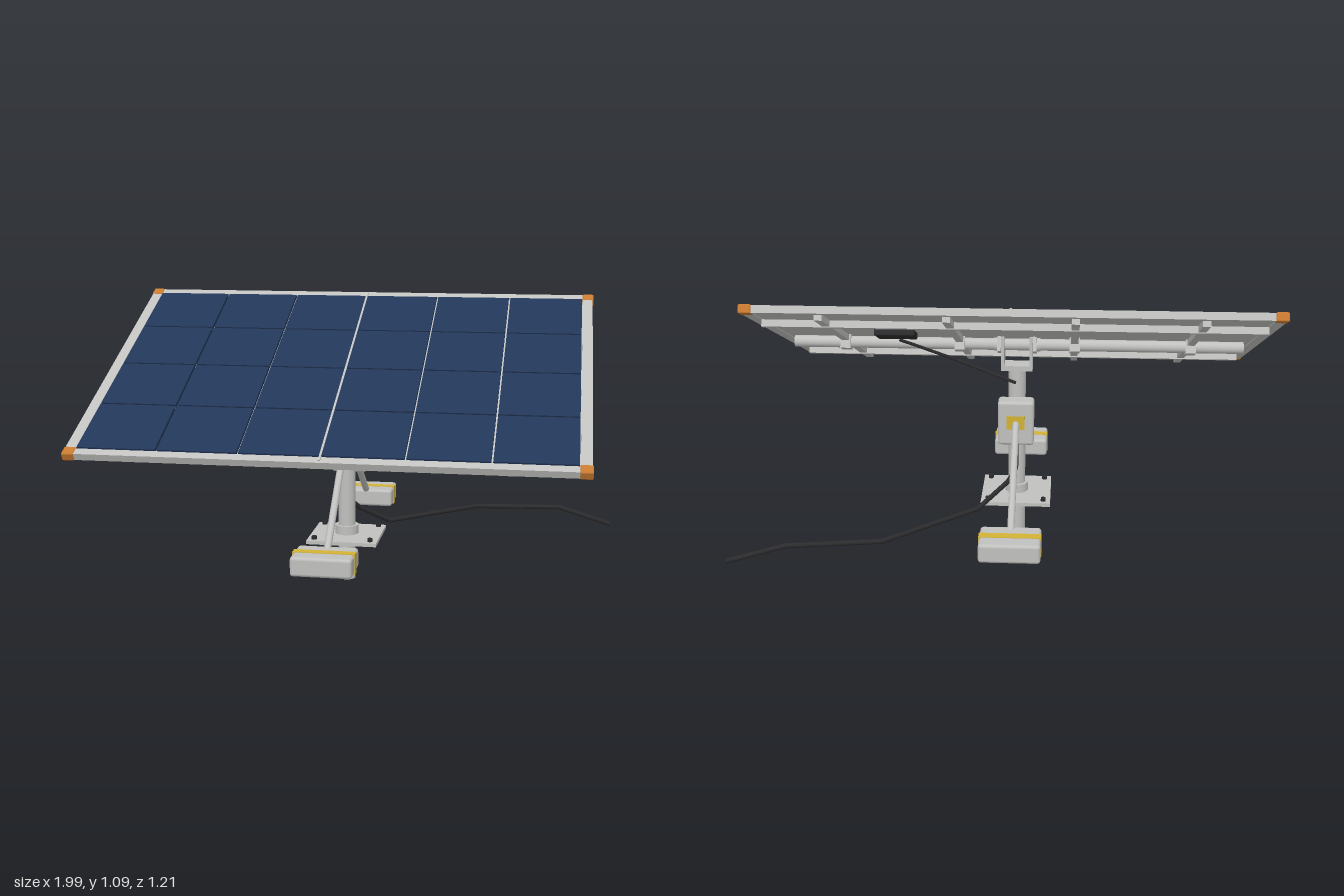
import * as THREE from 'three';
import { RoundedBoxGeometry } from 'three/addons/geometries/RoundedBoxGeometry.js';

const mat = (name, color) => {
  const m = new THREE.MeshStandardMaterial({ color });
  m.name = name;
  return m;
};

export function createModel() {
  const metal = mat('galvanised grey', 0xc0c0be);
  const navy = mat('cell navy', 0x223758);
  const orange = mat('corner orange', 0xc87a30);
  const yellow = mat('strap yellow', 0xd2b236);
  const black = mat('cable black', 0x2b2b2d);

  const model = new THREE.Group();
  model.name = 'solarPanelStand';
  const CX = -0.0575, PZ = 0.032; // pole axis

  const add = (parent, name, geo, material, x = 0, y = 0, z = 0) => {
    const mesh = new THREE.Mesh(geo, material);
    mesh.name = name;
    mesh.position.set(x, y, z);
    parent.add(mesh);
    return mesh;
  };
  const box = (p, name, m, w, h, d, x, y, z) =>
    add(p, name, new THREE.BoxGeometry(w, h, d), m, x, y, z);
  const cyl = (p, name, m, r, h, x, y, z, sides = 24) =>
    add(p, name, new THREE.CylinderGeometry(r, r, h, sides), m, x, y, z);
  const rounded = (p, name, m, w, h, d, r, x, y, z) =>
    add(p, name, new RoundedBoxGeometry(w, h, d, 2, r), m, x, y, z);

  // Straight round bar between two points
  const rod = (p, name, m, a, b, r) => {
    const va = new THREE.Vector3(...a), vb = new THREE.Vector3(...b);
    const dir = vb.clone().sub(va);
    const mesh = cyl(p, name, m, r, dir.length(), 0, 0, 0, 14);
    mesh.position.copy(va).add(vb).multiplyScalar(0.5);
    mesh.quaternion.setFromUnitVectors(new THREE.Vector3(0, 1, 0), dir.normalize());
  };
  // Bent cable: bars with a ball at each bend
  const cable = (name, points, r) => {
    const g = new THREE.Group();
    g.name = name;
    model.add(g);
    points.forEach((pt, i) => {
      if (i === 0) return;
      rod(g, 'cableRun', black, points[i - 1], pt, r);
      if (i < points.length - 1) add(g, 'cableBend', new THREE.SphereGeometry(r, 14, 10), black, ...pt);
    });
  };

  // ---- Pole, collar and base plate ----
  cyl(model, 'pole', metal, 0.034, 0.71, CX, 0.355, PZ, 32);
  cyl(model, 'poleCollar', metal, 0.046, 0.035, CX, 0.203, PZ, 32);
  box(model, 'basePlate', metal, 0.275, 0.014, 0.275, CX, 0.177, PZ);
  for (const sx of [-1, 1]) for (const sz of [-1, 1])
    cyl(model, 'baseBolt', black, 0.011, 0.014, CX + sx * 0.11, 0.19, PZ + sz * 0.11, 6);

  // ---- Yoke and pivot at the pole head ----
  box(model, 'yokeBase', metal, 0.12, 0.02, 0.075, CX, 0.71, PZ);
  for (const s of [-1, 1]) {
    box(model, 'yokePlate', metal, 0.012, 0.135, 0.075, CX + s * 0.055, 0.7675, PZ);
    const pin = cyl(model, 'pivotPin', metal, 0.026, 0.02, CX + s * 0.08, 0.798, 0.03);
    pin.rotation.z = Math.PI / 2;
  }

  // ---- Tilted panel: local y is the panel normal, local z runs down the slope ----
  const panel = new THREE.Group();
  panel.name = 'panel';
  panel.position.set(CX, 0.8315, 0.043);
  panel.rotation.x = THREE.MathUtils.degToRad(24.1);
  model.add(panel);

  const U = 0.938, V = 0.606;
  box(panel, 'backSheet', metal, 2 * U - 0.02, 0.014, 2 * V - 0.02, 0, -0.003, 0);
  for (const s of [-1, 1]) {
    box(panel, 'sideFrame', metal, 0.04, 0.027, 2 * V, s * (U - 0.02), 0, 0);
    box(panel, 'endFrame', metal, 2 * U, 0.027, 0.034, 0, 0, s * (V - 0.017));
    for (const t of [-1, 1])
      rounded(panel, 'cornerCap', orange, 0.046, 0.033, 0.046, 0.006, s * (U - 0.019), 0, t * (V - 0.019));
  }
  // Cells, six across and four down
  const pu = 0.2995, pv = 0.286;
  for (let i = 0; i < 6; i++) for (let j = 0; j < 4; j++)
    box(panel, 'solarCell', navy, pu - 0.007, 0.013, pv - 0.008, (i - 2.5) * pu, 0.0103, (j - 1.5) * pv);
  box(panel, 'centreStrip', metal, 0.008, 0.014, 2 * V - 0.02, 0, 0.011, 0);

  // Rails, torque tube and clamps underneath
  for (const x of [-0.6675, -0.2225, 0.2225, 0.6675]) {
    box(panel, 'slopeRail', metal, 0.028, 0.022, 1.16, x, -0.023, 0);
    box(panel, 'tubeClamp', metal, 0.04, 0.056, 0.062, x, -0.036, 0);
  }
  for (const z of [-0.42, 0.42])
    box(panel, 'crossRail', metal, 1.8, 0.026, 0.028, 0, -0.025, z);
  const tube = cyl(panel, 'torqueTube', metal, 0.023, 1.74, 0, -0.036, 0);
  tube.rotation.z = Math.PI / 2;
  for (const s of [-1, 1])
    box(panel, 'pivotBracket', metal, 0.014, 0.062, 0.078, s * 0.069, -0.036, 0);
  rounded(panel, 'junctionBox', black, 0.15, 0.026, 0.11, 0.006, 0.445, -0.03, -0.215);

  // ---- Struts and strapped ballast blocks ----
  const blocks = [[0.503, 1], [-0.523, -1]];
  for (const [z, s] of blocks) {
    rounded(model, 'ballastBlock', metal, 0.225, 0.073, 0.163, 0.012, CX, 0.207, z);
    box(model, 'ballastStrap', yellow, 0.229, 0.077, 0.036, CX, 0.207, z);
    rod(model, 'strut', metal, [CX, 0.572, PZ + s * 0.03], [CX, 0.225, z - s * 0.045], 0.0135);
    add(model, 'strutJoint', new THREE.SphereGeometry(0.016, 16, 12), metal, CX, 0.568, PZ + s * 0.036);
  }

  // ---- Control box on the back of the pole ----
  rounded(model, 'controlBox', metal, 0.14, 0.178, 0.075, 0.012, CX, 0.51, -0.048);
  box(model, 'boxMount', metal, 0.06, 0.03, 0.03, CX, 0.565, -0.005);
  box(model, 'boxLabel', yellow, 0.07, 0.055, 0.004, CX, 0.515, -0.0865);

  // ---- Cables ----
  cable('groundCable', [
    [CX, 0.43, -0.047], [CX, 0.32, -0.047], [CX + 0.008, 0.29, -0.054], [-0.025, 0.262, -0.08],
    [0.085, 0.186, -0.17], [0.42, 0.183, -0.47], [0.77, 0.18, -0.52], [0.992, 0.114, -0.525],
  ], 0.0095);
  cable('panelCable', [
    [0.38, 0.855, -0.12], [0.35, 0.84, -0.105], [0.17, 0.757, -0.051], [0.04, 0.715, -0.075], [CX, 0.687, -0.105],
  ], 0.006);

  return model;
}
